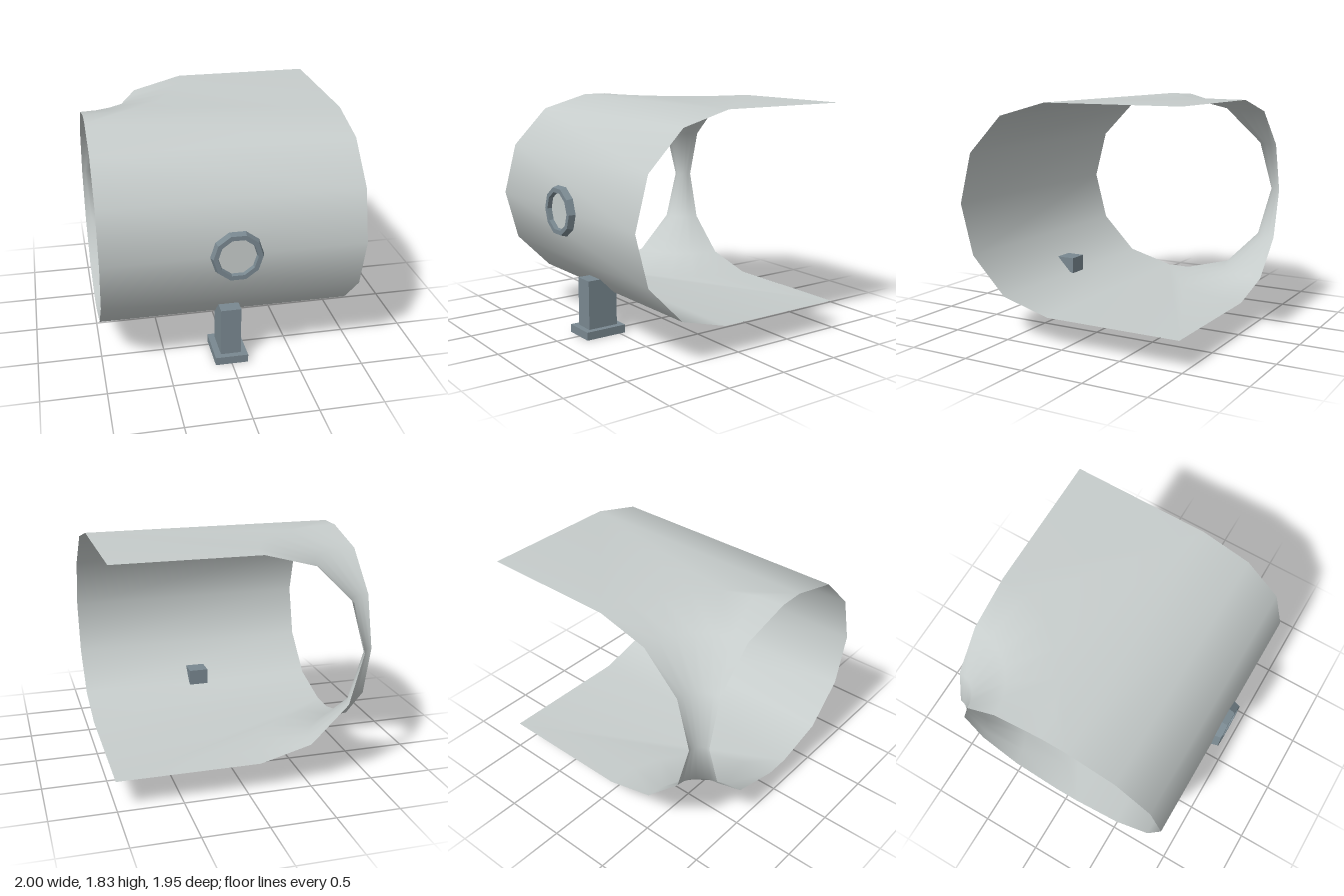
import * as THREE from 'three';
import { mergeGeometries, mergeVertices } from 'three/addons/utils/BufferGeometryUtils.js';

const R = 0.8;            // bore radius
const MID_Y = 1.03;       // height of the bore centre
const FRONT_Z = 0.125;    // axis of the rounded front wall
const CORNER = { x: -1, z: -0.975 }; // axis of the inner corner
const NECK = 0.1;         // corner radius at mid height
const STEPS = 6;

const shellGrey = new THREE.MeshStandardMaterial({ color: 0xc6cccb, side: THREE.DoubleSide });
shellGrey.name = 'shellGrey';
const slate = new THREE.MeshStandardMaterial({ color: 0x798890, flatShading: true });
slate.name = 'slate';

function add(parent, name, geometry, material, x = 0, y = 0, z = 0) {
  const mesh = new THREE.Mesh(geometry, material);
  mesh.name = name;
  mesh.position.set(x, y, z);
  parent.add(mesh);
  return mesh;
}

// Flat sheet joining the front wall to the inner corner; side is 1 for roof, -1 for floor
function flatSheet(side) {
  const outline = [[1, CORNER.z], [1, FRONT_Z], [-1, FRONT_Z]];
  for (let i = 0; i <= STEPS; i++) {
    const a = (i / STEPS) * Math.PI / 2;
    outline.push([CORNER.x + (NECK + R) * Math.sin(a), CORNER.z + (NECK + R) * Math.cos(a)]);
  }
  const shape = new THREE.Shape(outline.map(([x, z]) => new THREE.Vector2(x, -side * z)));
  const sheet = new THREE.ShapeGeometry(shape);
  sheet.rotateX(-side * Math.PI / 2);
  sheet.translate(0, MID_Y + side * R, 0);
  return sheet;
}

function shellGeometry() {
  // Rounded front wall: half a tube lying along x
  const wall = new THREE.CylinderGeometry(R, R, 2, STEPS, 1, true, -Math.PI / 2, Math.PI);
  wall.rotateZ(Math.PI / 2);
  wall.translate(0, MID_Y, FRONT_Z);

  // Waisted inner corner: quarter turn of a concave arc
  const profile = [];
  for (let i = 0; i <= STEPS; i++) {
    const a = (i / STEPS) * Math.PI;
    profile.push(new THREE.Vector2(NECK + R - R * Math.sin(a), MID_Y + R * Math.cos(a)));
  }
  const corner = new THREE.LatheGeometry(profile, STEPS, 0, Math.PI / 2);
  corner.translate(CORNER.x, 0, CORNER.z);

  // Weld the pieces so the shading runs smoothly across them
  const pieces = [wall, corner, flatSheet(1), flatSheet(-1)];
  for (const piece of pieces) {
    piece.deleteAttribute('uv');
    piece.deleteAttribute('normal');
  }
  const shell = mergeVertices(mergeGeometries(pieces), 1e-4);
  shell.computeVertexNormals();
  return shell;
}

export function createModel() {
  const model = new THREE.Group();
  model.name = 'tunnelCorner';

  add(model, 'shell', shellGeometry(), shellGrey);

  // Ten-sided port on the front wall
  const port = new THREE.Group();
  port.name = 'port';
  port.position.set(0, MID_Y, 0.925);
  model.add(port);
  const section = [[0.2, 0], [0.186, 0.05], [0.15, 0.05], [0.143, 0], [0.2, 0]];
  const rim = new THREE.LatheGeometry(section.map(([r, h]) => new THREE.Vector2(r, h)), 10, Math.PI / 2);
  rim.rotateX(Math.PI / 2);
  add(port, 'portRim', rim, slate);
  add(port, 'portCover', new THREE.CircleGeometry(0.148, 10), shellGrey, 0, 0, 0.015);

  // Support leg and its foot
  add(model, 'leg', new THREE.BoxGeometry(0.16, 0.395, 0.255), slate, 0, 0.2625, 0.625);
  add(model, 'foot', new THREE.BoxGeometry(0.26, 0.065, 0.35), slate, 0, 0.0325, 0.625);

  return model;
}
